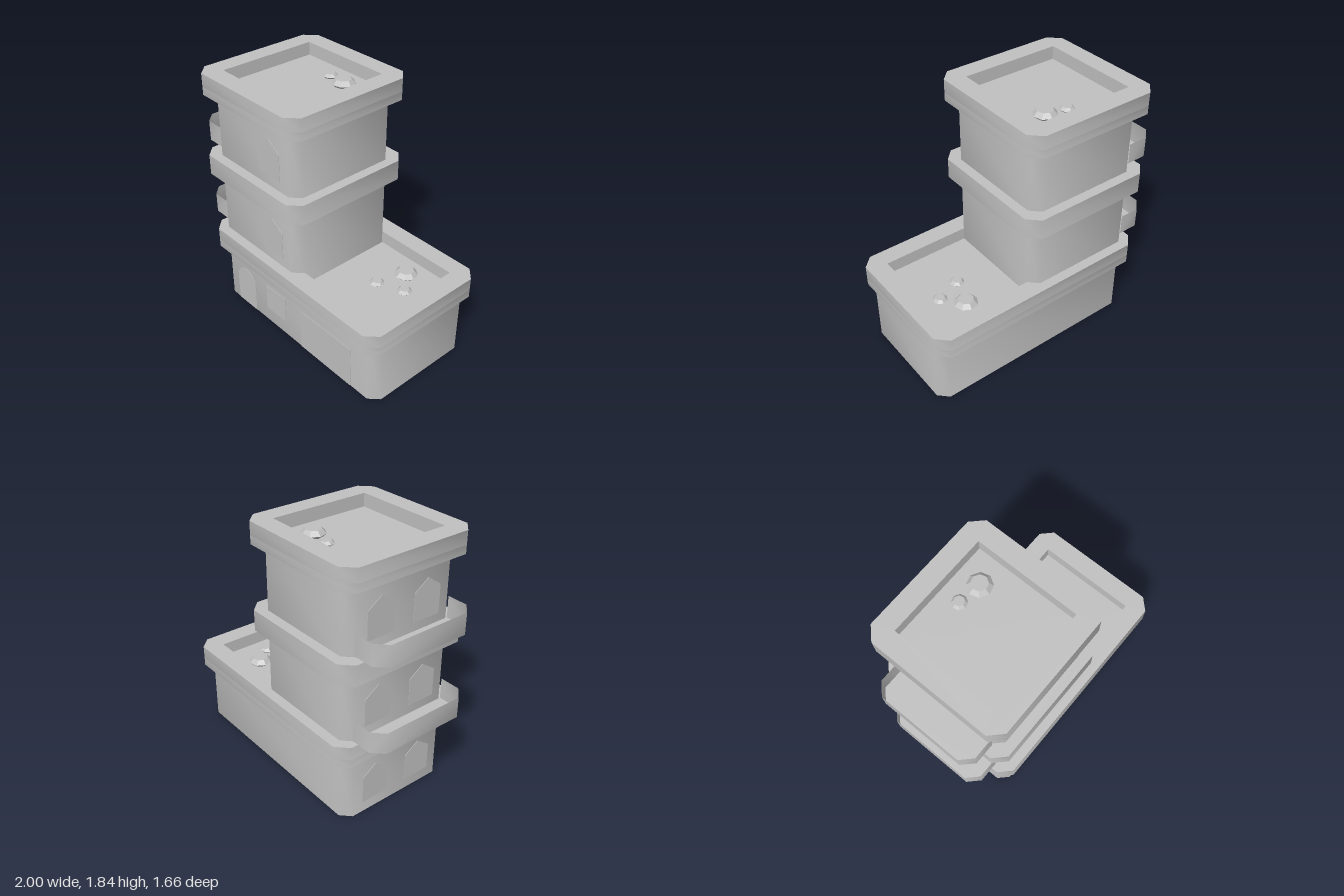
import * as THREE from 'three';
import { toCreasedNormals } from 'three/addons/utils/BufferGeometryUtils.js';

const grey = new THREE.MeshStandardMaterial({ color: 0xc0c0c0, side: THREE.DoubleSide });
grey.name = 'plain grey';

// Plan points are [x, z]; shapes are laid flat with z negated.
const flat = (pts) => pts.map(([x, z]) => new THREE.Vector2(x, -z));

function chamferedRect(x0, x1, z0, z1, c) {
  return flat([
    [x0 + c, z1], [x1 - c, z1], [x1, z1 - c], [x1, z0 + c],
    [x1 - c, z0], [x0 + c, z0], [x0, z0 + c], [x0, z1 - c],
  ]);
}

export function createModel() {
  const model = new THREE.Group();
  model.name = 'building';
  // The building stands turned on its plot
  model.rotation.y = -Math.PI / 6;

  const add = (name, geometry, x = 0, y = 0, z = 0) => {
    const mesh = new THREE.Mesh(geometry, grey);
    mesh.name = name;
    mesh.position.set(x, y, z);
    model.add(mesh);
    return mesh;
  };

  // Upright block with cut corners that shade smoothly, optionally with a rectangular hole
  const block = (name, [x0, x1, z0, z1, c], y0, y1, hole) => {
    const shape = new THREE.Shape(chamferedRect(x0, x1, z0, z1, c));
    if (hole) {
      const [a, b, d, e] = hole;
      shape.holes.push(new THREE.Path(flat([[a, d], [b, d], [b, e], [a, e]])));
    }
    const geo = new THREE.ExtrudeGeometry(shape, { depth: y1 - y0, bevelEnabled: false });
    geo.rotateX(-Math.PI / 2);
    add(name, toCreasedNormals(geo, Math.PI / 3), 0, y0);
  };

  // Walls
  const towerPlan = [-0.765, 0.103, -0.454, 0.416, 0.067];
  block('groundFloorWalls', [-0.765, 0.867, -0.454, 0.416, 0.067], 0, 0.46);
  block('middleFloorWalls', towerPlan, 0.52, 1.075);
  block('topFloorWalls', towerPlan, 1.225, 1.685);

  // Overhanging slabs; the roofs are sunk behind a parapet
  const lowSlab = [-0.805, 0.895, -0.525, 0.487, 0.08];
  const highSlab = [-0.836, 0.174, -0.525, 0.487, 0.08];
  block('lowerRoofFloor', lowSlab, 0.46, 0.52);
  block('lowerRoofParapet', lowSlab, 0.52, 0.615, [0.05, 0.754, -0.39, 0.35]);
  block('middleSlab', highSlab, 1.075, 1.225);
  block('upperRoofFloor', highSlab, 1.685, 1.745);
  block('upperRoofParapet', highSlab, 1.745, 1.84, [-0.7, 0.037, -0.39, 0.35]);

  // Balconies: thin rail around a floor, on the narrow end
  const rail = [
    [-0.765, -0.4], [-0.915, -0.4], [-0.99, -0.325],
    [-0.99, 0.288], [-0.915, 0.363], [-0.765, 0.363],
  ];
  for (const y of [0.625, 1.237]) {
    const ribbon = new THREE.PlaneGeometry(1, 0.152, rail.length - 1, 1);
    const pos = ribbon.attributes.position;
    for (let i = 0; i < pos.count; i++) {
      const [x, z] = rail[i % rail.length];
      pos.setXYZ(i, x, pos.getY(i) + 0.076, z);
    }
    add('balconyRail', toCreasedNormals(ribbon, Math.PI / 3), 0, y);
    const floor = new THREE.ShapeGeometry(new THREE.Shape(flat(rail)));
    floor.rotateX(-Math.PI / 2);
    add('balconyFloor', floor, 0, y);
  }

  // Thin plates for doors and windows
  const plate = (shape) => new THREE.ExtrudeGeometry(shape, { depth: 0.005, bevelEnabled: false, curveSegments: 12 });
  const polygon = (pts) => new THREE.Shape(pts.map(([x, y]) => new THREE.Vector2(x, y)));
  const w = 0.107;
  const gabled = plate(polygon([[-w, 0], [w, 0], [w, 0.2], [0, 0.275], [-w, 0.2]]));
  const rect = (hw, h) => plate(polygon([[-hw, 0], [hw, 0], [hw, h], [-hw, h]]));
  const arch = new THREE.Shape();
  arch.moveTo(-w, 0);
  arch.lineTo(w, 0);
  arch.lineTo(w, 0.218);
  arch.absarc(0, 0.218, w, 0, Math.PI, false);
  arch.closePath();

  // Long front side
  const front = 0.414;
  add('archedDoor', plate(arch), -0.508, 0, front);
  add('squareWindow', rect(w, 0.21), -0.156, 0.115, front);
  add('wideEntrance', rect(0.257, 0.325), 0.381, 0, front);
  for (const y of [0.69, 1.3]) add('frontWindow', gabled, -0.156, y, front);

  // Narrow end, two windows on each floor
  for (const y of [0.08, 0.69, 1.3]) {
    for (const z of [-0.202, 0.172]) {
      add('endWindow', gabled, -0.763, y, z).rotation.y = -Math.PI / 2;
    }
  }

  // Eight-sided roof vents, placed by world plan position
  const vents = [
    [-0.02, -0.27, 0.085, 1.745], [-0.145, -0.37, 0.053, 1.745],
    [0.547, 0.047, 0.085, 0.52], [0.378, 0.195, 0.053, 0.52], [0.58, 0.225, 0.053, 0.52],
  ];
  const cos = Math.cos(Math.PI / 6), sin = 0.5;
  for (const [x, z, r, y] of vents) {
    const profile = [[0.72, 0], [1, 0.25], [0.66, 0.6], [0, 0.6]]
      .map(([a, b]) => new THREE.Vector2(a * r, b * r));
    const geo = new THREE.LatheGeometry(profile, 8, Math.PI / 8 - Math.PI / 6);
    add('roofVent', toCreasedNormals(geo, 0.1), x * cos + z * sin, y, z * cos - x * sin);
  }

  return model;
}
